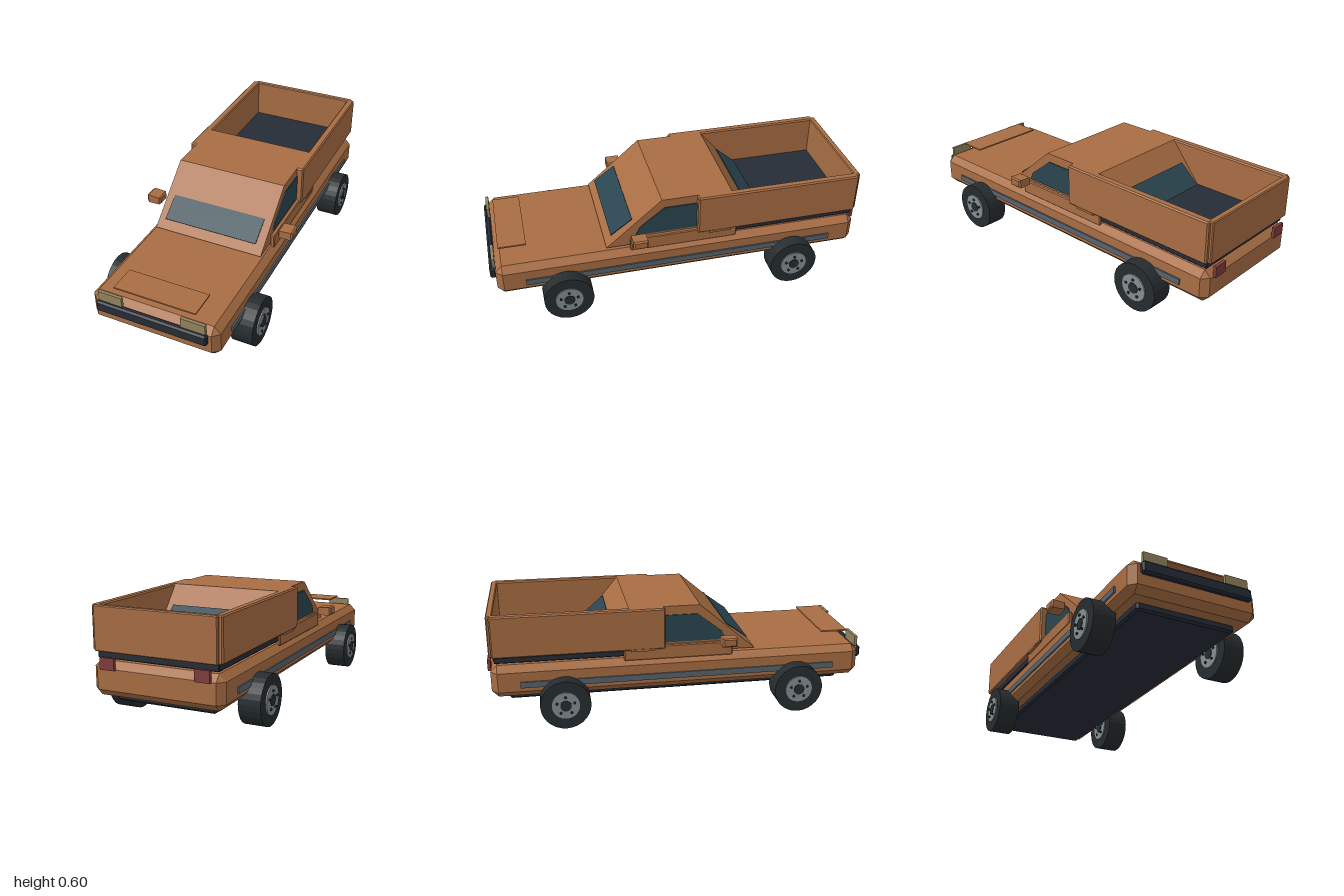
import * as THREE from 'three';
import { ConvexGeometry } from 'three/addons/geometries/ConvexGeometry.js';

const mat = (color, extra = {}) =>
  new THREE.MeshStandardMaterial({ color, flatShading: true, ...extra });
const paint = mat(0xa86d43);
const dark = mat(0x262c37);
const glass = mat(0x2a4550, { side: THREE.DoubleSide });
const rubber = mat(0x262c2f);
const metal = mat(0x848e91);
const trim = mat(0x58636d);
const lamp = mat(0x93845f);
const red = mat(0x823c3c);

export function createModel() {
  const truck = new THREE.Group();
  truck.name = 'pickupTruck';

  const add = (name, geometry, material, parent = truck) => {
    const mesh = new THREE.Mesh(geometry, material);
    mesh.name = name;
    parent.add(mesh);
    return mesh;
  };

  // Box given by its limits; c > 0 chamfers all twelve edges
  const box = (name, [x0, x1], [y0, y1], [z0, z1], material, c = 0) => {
    const h = [(x1 - x0) / 2, (y1 - y0) / 2, (z1 - z0) / 2];
    let geometry;
    if (c > 0) {
      const points = [];
      for (const sx of [-1, 1]) for (const sy of [-1, 1]) for (const sz of [-1, 1])
        for (let full = 0; full < 3; full++) {
          const v = h.map((d, i) => (i === full ? d : d - c));
          points.push(new THREE.Vector3(sx * v[0], sy * v[1], sz * v[2]));
        }
      geometry = new ConvexGeometry(points);
    } else geometry = new THREE.BoxGeometry(2 * h[0], 2 * h[1], 2 * h[2]);
    const mesh = add(name, geometry, material);
    mesh.position.set((x0 + x1) / 2, (y0 + y1) / 2, (z0 + z1) / 2);
    return mesh;
  };

  // The same box on both sides, limits given for the left (+x)
  const pair = (name, [x0, x1], y, z, material, c) => {
    box(name + 'Left', [x0, x1], y, z, material, c);
    box(name + 'Right', [-x1, -x0], y, z, material, c);
  };

  // Side profile of (z, y) points, extruded across the width
  const profile = (points, width) => {
    const shape = new THREE.Shape(points.map(([z, y]) => new THREE.Vector2(z, y)));
    return new THREE.ExtrudeGeometry(shape, { depth: width, bevelEnabled: false })
      .translate(0, 0, -width / 2)
      .rotateY(-Math.PI / 2);
  };

  // Lower body and chassis
  box('lowerBody', [-0.345, 0.345], [0.158, 0.33], [-0.987, 0.972], paint, 0.034);
  box('chassis', [-0.265, 0.265], [0.12, 0.165], [-0.9, 0.88], dark, 0.01);
  pair('sideStripe', [0.34, 0.353], [0.213, 0.245], [-0.84, 0.825], trim);

  // Cab with sloping windscreen and rear
  add('cab', profile([[0.395, 0.34], [0.097, 0.595], [-0.275, 0.595], [-0.486, 0.34]], 0.61), paint);

  // Thin tilted panes
  const pane = (name, [zTop, yTop], [zLow, yLow]) => {
    const length = Math.hypot(zTop - zLow, yTop - yLow);
    const mesh = add(name, new THREE.BoxGeometry(0.525, 0.004, length), glass);
    mesh.position.set(0, (yTop + yLow) / 2, (zTop + zLow) / 2);
    mesh.rotation.x = Math.atan2(yTop - yLow, zLow - zTop);
    if (zLow < zTop) mesh.rotation.x = -Math.atan2(yTop - yLow, zTop - zLow);
  };
  pane('windscreen', [0.248, 0.47], [0.363, 0.386]);
  pane('rearWindow', [-0.363, 0.496], [-0.475, 0.398]);

  // Side windows, doors, handles and mirrors
  const windowSide = [[0.238, 0.4], [0.215, 0.445], [0.083, 0.548], [-0.2, 0.548], [-0.2, 0.4]];
  for (const s of [1, -1]) {
    const side = s > 0 ? 'Left' : 'Right';
    add('sideWindow' + side, profile(windowSide, 0.01), glass).position.x = s * 0.305;
    // Mirror housing, slimmer towards the cab
    const housing = [];
    for (const [x, y0, y1, z0, z1] of [
      [0.345, 0.4, 0.428, 0.205, 0.262], [0.353, 0.395, 0.436, 0.195, 0.272],
      [0.418, 0.393, 0.44, 0.195, 0.272], [0.427, 0.402, 0.434, 0.203, 0.264]])
      for (const y of [y0, y1]) for (const z of [z0, z1])
        housing.push(new THREE.Vector3(s * x, y, z));
    add('mirror' + side, new ConvexGeometry(housing), paint);
  }
  pair('doorPanel', [0.305, 0.329], [0.316, 0.392], [-0.305, 0.27], paint, 0.005);
  pair('doorHandle', [0.327, 0.344], [0.37, 0.382], [-0.27, -0.15], paint);

  // Load bed
  box('bedFloor', [-0.318, 0.318], [0.34, 0.381], [-0.967, -0.09], dark, 0.004);
  pair('bedSide', [0.298, 0.341], [0.375, 0.595], [-0.975, -0.09], paint, 0.007);
  box('tailgate', [-0.322, 0.322], [0.375, 0.595], [-0.99, -0.957], paint, 0.005);

  // Front and rear fittings
  box('hoodPanel', [-0.22, 0.22], [0.371, 0.379], [0.8, 0.945], paint);
  box('frontBumper', [-0.297, 0.297], [0.244, 0.307], [0.968, 1], dark, 0.009);
  pair('headlight', [0.158, 0.286], [0.306, 0.36], [0.968, 0.984], lamp);
  pair('tailLight', [0.21, 0.288], [0.293, 0.352], [-1, -0.984], red);

  // Wheels: tyre, hub, cap and five bolts on each face
  const disc = (name, radius, width, sides, material, parent) =>
    add(name, new THREE.CylinderGeometry(radius, radius, width, sides).rotateZ(Math.PI / 2), material, parent);
  for (const [end, z] of [['front', 0.618], ['rear', -0.618]])
    for (const [side, s] of [['Left', 1], ['Right', -1]]) {
      const wheel = new THREE.Group();
      wheel.name = end + 'Wheel' + side;
      wheel.position.set(s * 0.359, 0.13, z);
      truck.add(wheel);
      disc('tyre', 0.13, 0.116, 28, rubber, wheel);
      disc('hub', 0.074, 0.13, 24, metal, wheel);
      disc('hubCap', 0.029, 0.136, 16, rubber, wheel);
      for (let i = 0; i < 5; i++) {
        const a = Math.PI / 2 + (i * Math.PI * 2) / 5;
        disc('bolt', 0.007, 0.143, 8, rubber, wheel)
          .position.set(0, 0.047 * Math.sin(a), 0.047 * Math.cos(a));
      }
    }

  return truck;
}
